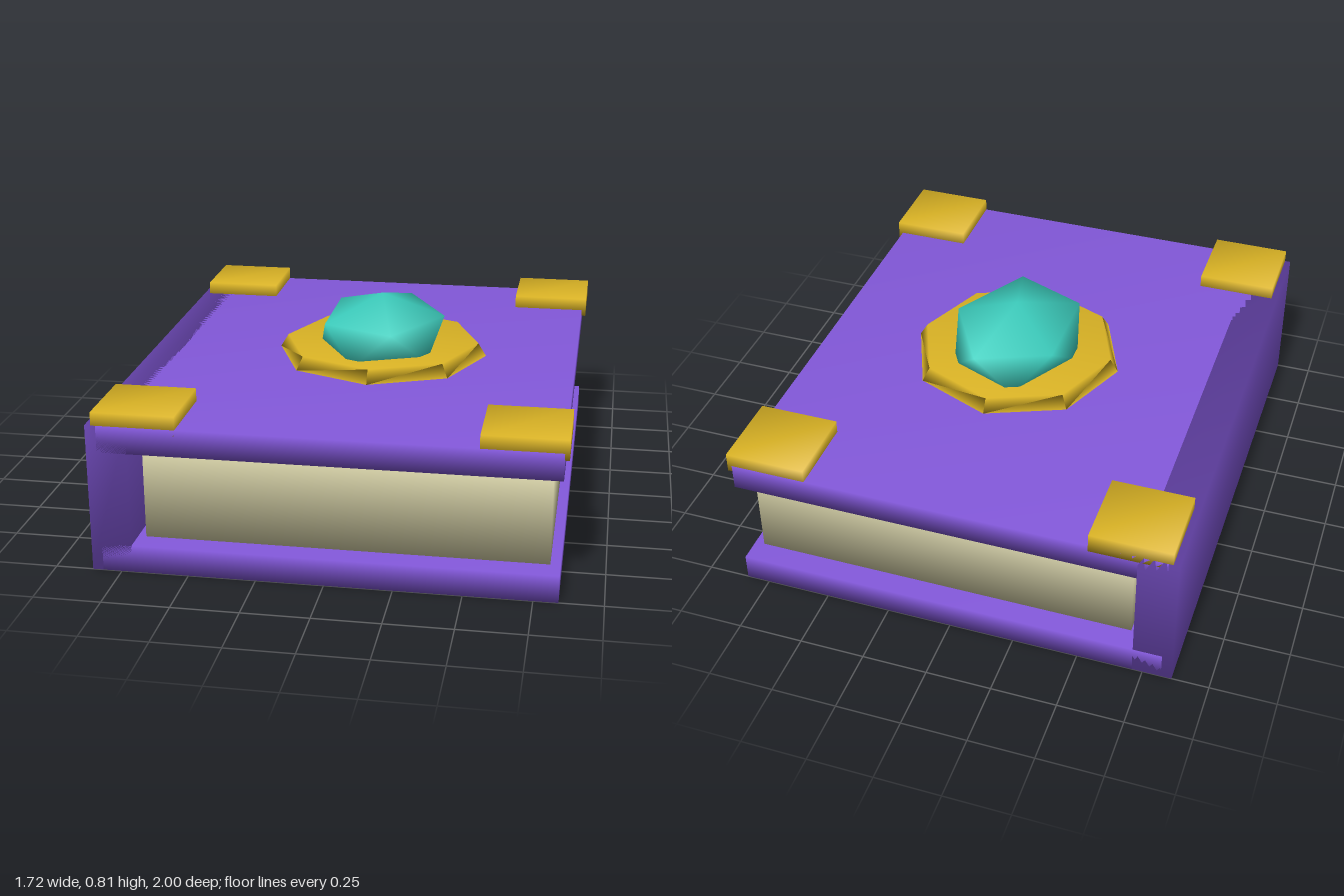
import * as THREE from 'three';
import { mergeVertices } from 'three/addons/utils/BufferGeometryUtils.js';
import { ConvexGeometry } from 'three/addons/geometries/ConvexGeometry.js';

const material = (name, color) => {
  const m = new THREE.MeshStandardMaterial({ color });
  m.name = name;
  return m;
};

// Weld corners so normals blend softly over every edge
function soften(geometry) {
  geometry.deleteAttribute('normal');
  geometry.deleteAttribute('uv');
  const welded = mergeVertices(geometry, 1e-4);
  welded.computeVertexNormals();
  return welded;
}

export function createModel() {
  const book = new THREE.Group();
  book.name = 'book';
  const purple = material('purple leather', 0x8459dc);
  const cream = material('cream paper', 0xdcd7ac);
  const gold = material('gold', 0xdbb425);
  const teal = material('teal gem', 0x3dcfbf);

  const add = (name, geometry, mat) => {
    const mesh = new THREE.Mesh(soften(geometry), mat);
    mesh.name = name;
    book.add(mesh);
    return mesh;
  };
  const block = (name, mat, x0, x1, y0, y1, z0, z1) =>
    add(name, new THREE.BoxGeometry(x1 - x0, y1 - y0, z1 - z0), mat)
      .position.set((x0 + x1) / 2, (y0 + y1) / 2, (z0 + z1) / 2);

  // Covers, spine and page block
  block('bottomCover', purple, -0.82, 0.84, 0, 0.103, -1, 1);
  block('topCover', purple, -0.82, 0.84, 0.463, 0.565, -1, 1);
  block('spine', purple, -0.86, -0.71, 0, 0.565, -1, 1);
  block('pages', cream, -0.68, 0.803, 0.09, 0.475, -0.91, 0.91);

  // Metal corner plates
  for (const z of [-1, 0.695]) {
    block('spineCorner', gold, -0.837, -0.53, 0.54, 0.615, z, z + 0.305);
    block('edgeCorner', gold, 0.55, 0.857, 0.54, 0.615, z, z + 0.305);
  }

  // Eight-sided gem setting
  add('gemSetting', new THREE.CylinderGeometry(0.388, 0.42, 0.052, 8), gold)
    .position.set(0.062, 0.59, 0);

  // Gem: two opposed five-point rings between an upper and a lower tip
  const points = [new THREE.Vector3(0, 0.153, 0), new THREE.Vector3(0, -0.153, 0)];
  for (let i = 0; i < 5; i++) {
    const a = (i * Math.PI * 2) / 5;
    const x = 0.25 * Math.cos(a), z = 0.316 * Math.sin(a);
    points.push(new THREE.Vector3(x, 0.068, z), new THREE.Vector3(-x, -0.068, -z));
  }
  add('gem', new ConvexGeometry(points), teal).position.set(0.062, 0.657, 0);

  return book;
}
